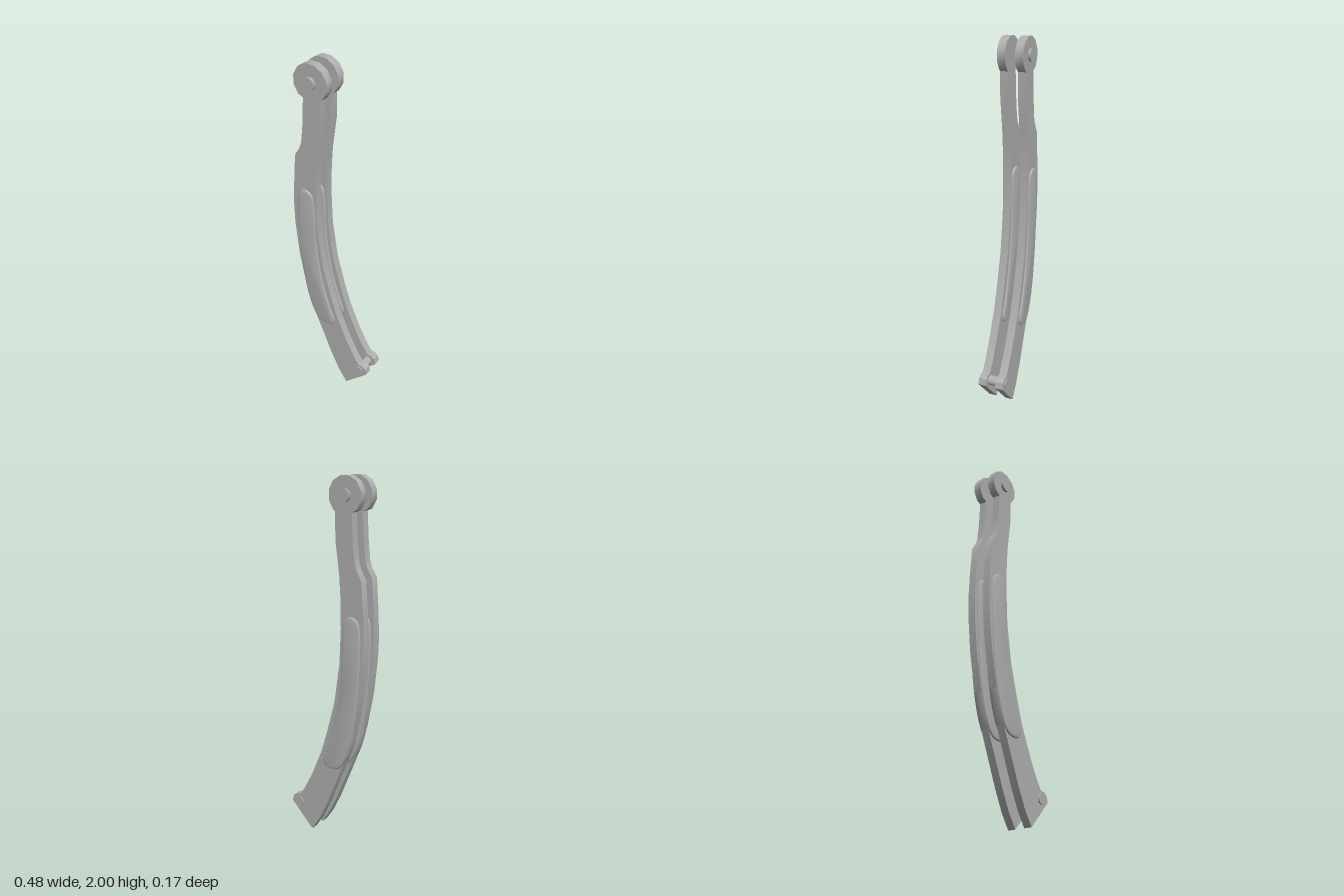
import * as THREE from 'three';
import { toCreasedNormals } from 'three/addons/utils/BufferGeometryUtils.js';

const HEAD = { x: -0.118, y: 1.905, r: 0.098 };

// Curved bar outline: right edge going up, round head, left edge going down
function armShape() {
  const right = [
    [0.1, 0.004], [0.24, 0.145], [0.232, 0.18], [0.212, 0.195], [0.185, 0.198], [0.153, 0.246],
    [0.1, 0.347], [0.032, 0.505], [-0.01, 0.64], [-0.058, 0.82], [-0.09, 1.04], [-0.098, 1.235],
    [-0.095, 1.395], [-0.087, 1.51], [-0.063, 1.685], [-0.062, 1.824],
  ];
  const head = [];
  for (let a = -45; a <= 225; a += 30) {
    const t = THREE.MathUtils.degToRad(a);
    head.push([HEAD.x + HEAD.r * Math.cos(t), HEAD.y + HEAD.r * Math.sin(t)]);
  }
  const left = [
    [-0.16, 1.824], [-0.17, 1.66], [-0.18, 1.575], [-0.192, 1.54], [-0.222, 1.49], [-0.235, 1.315],
    [-0.241, 1.18], [-0.238, 1.065], [-0.217, 0.865], [-0.18, 0.67], [-0.106, 0.44],
    [-0.005, 0.193], [0.048, 0.082],
  ];
  return new THREE.Shape([...right, ...head, ...left].map(([x, y]) => new THREE.Vector2(x, y)));
}

// Long rounded grip pad outline
function padShape() {
  const pts = [
    [-0.032, 0.423], [0.004, 0.435], [0.016, 0.47], [-0.012, 0.55], [-0.063, 0.73], [-0.1, 0.97],
    [-0.108, 1.21], [-0.123, 1.28], [-0.163, 1.302], [-0.203, 1.28], [-0.217, 1.22],
    [-0.212, 0.97], [-0.175, 0.655], [-0.127, 0.495], [-0.088, 0.437],
  ].map(([x, y]) => new THREE.Vector3(x, y, 0));
  const curve = new THREE.CatmullRomCurve3(pts, true);
  return new THREE.Shape(curve.getPoints(60).slice(0, -1).map((p) => new THREE.Vector2(p.x, p.y)));
}

export function createModel() {
  const model = new THREE.Group();
  model.name = 'twinCurvedArm';
  const grey = new THREE.MeshStandardMaterial({ color: 0xb0b0b0 });
  grey.name = 'plain grey';

  const add = (name, geometry, x, y, z) => {
    const mesh = new THREE.Mesh(geometry, grey);
    mesh.name = name;
    mesh.position.set(x, y, z);
    model.add(mesh);
  };

  // Round pin along z between two depths
  const addPin = (name, x, y, r, z0, z1) => {
    const g = new THREE.CylinderGeometry(r, r, z1 - z0, 20).rotateX(Math.PI / 2);
    add(name, g, x, y, (z0 + z1) / 2);
  };

  const plate = toCreasedNormals(
    new THREE.ExtrudeGeometry(armShape(), { depth: 0.045, bevelEnabled: false }), 0.6);
  const pad = toCreasedNormals(
    new THREE.ExtrudeGeometry(padShape(), {
      depth: 0.045, bevelThickness: 0.01, bevelSize: 0.012, bevelOffset: -0.012, bevelSegments: 2,
    }), 0.6);

  // Two parallel plates, each with a pad showing on both faces
  for (const [side, z] of [['front', 0.025], ['back', -0.075]]) {
    add(side + 'Plate', plate, 0, 0, z);
    add(side + 'GripPad', pad, 0, 0, z);
  }

  // Pivot stubs in the heads and the cross pin at the foot
  addPin('frontPivot', HEAD.x, HEAD.y, 0.033, 0.03, 0.086);
  addPin('backPivot', HEAD.x, HEAD.y, 0.033, -0.088, -0.035);
  addPin('crossPin', 0.186, 0.155, 0.028, -0.081, 0.077);

  return model;
}
